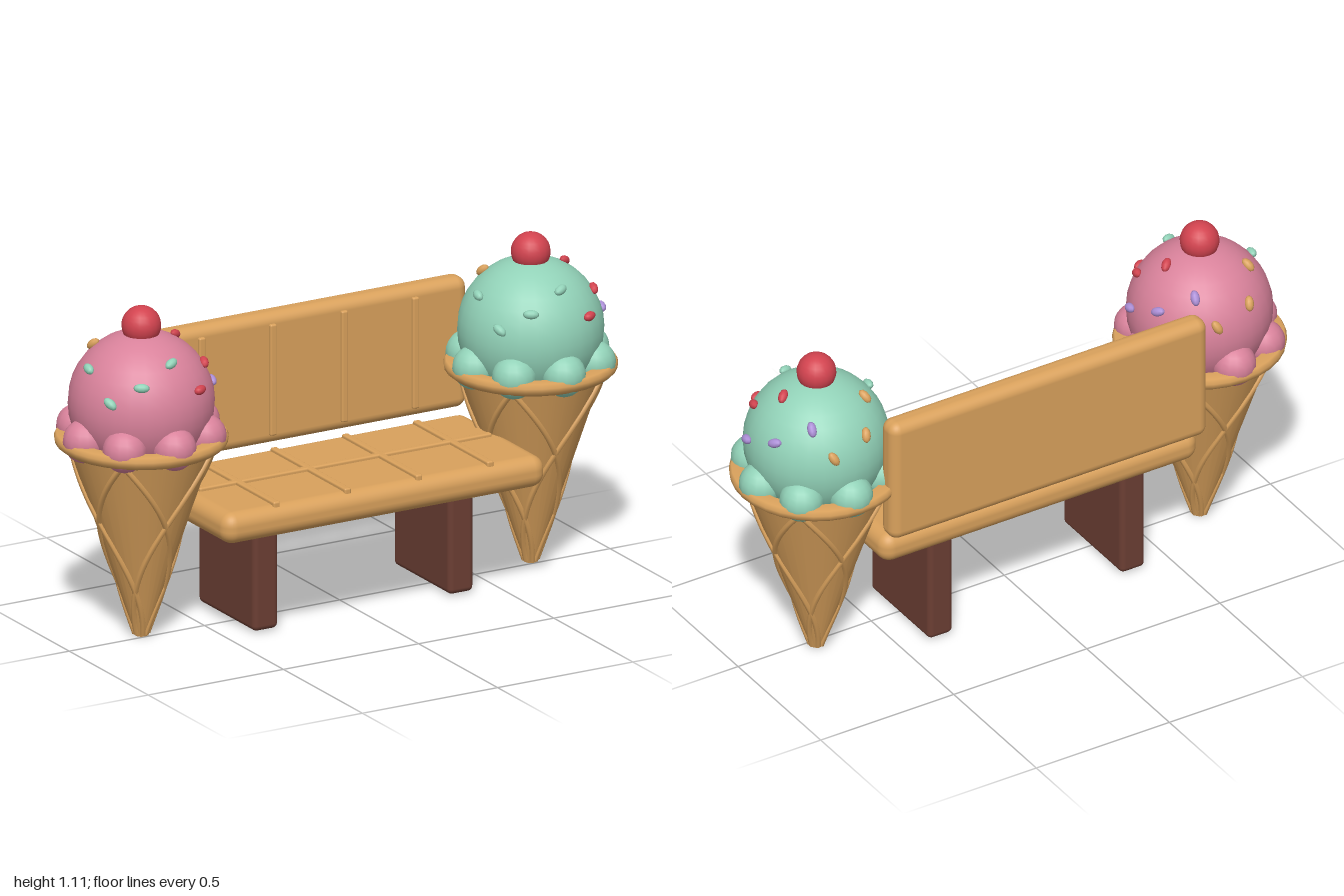
import * as THREE from 'three';
import { RoundedBoxGeometry } from 'three/addons/geometries/RoundedBoxGeometry.js';

const mat = (name, color, side = THREE.FrontSide) => {
  const m = new THREE.MeshStandardMaterial({ color, side });
  m.name = name;
  return m;
};

export function createModel() {
  const wafer = mat('wafer', 0xd9a15c, THREE.DoubleSide);
  const chocolate = mat('chocolate', 0x6b3e33);
  const pink = mat('strawberry', 0xd9829b);
  const mint = mat('mint', 0x92d2b8);
  const red = mat('cherryRed', 0xd2434f);
  const purple = mat('lilac', 0xab8ed6);

  const model = new THREE.Group();
  model.name = 'iceCreamBench';

  const add = (parent, name, geometry, material, x = 0, y = 0, z = 0) => {
    const mesh = new THREE.Mesh(geometry, material);
    mesh.name = name;
    mesh.position.set(x, y, z);
    parent.add(mesh);
    return mesh;
  };
  const slab = (name, material, w, h, d, r, x, y, z) =>
    add(model, name, new RoundedBoxGeometry(w, h, d, 4, r), material, x, y, z);

  // Bench: seat, backrest, raised wafer ribs and legs
  slab('seat', wafer, 1.19, 0.105, 0.535, 0.045, 0, 0.418, 0.035);
  slab('backrest', wafer, 1.19, 0.44, 0.085, 0.035, 0, 0.708, -0.243);
  for (const x of [-0.395, -0.132, 0.132, 0.395]) {
    slab('seatRib', wafer, 0.024, 0.03, 0.475, 0.006, x, 0.467, 0.043);
    slab('backrestRib', wafer, 0.024, 0.375, 0.03, 0.006, x, 0.708, -0.204);
  }
  slab('seatCrossRib', wafer, 1.08, 0.03, 0.024, 0.006, 0, 0.467, -0.03 + 0.06);
  for (const s of [-1, 1]) {
    slab('leg', chocolate, 0.092, 0.385, 0.358, 0.018, s * 0.361, 0.198, -0.023);
  }

  // Shared cone, scoop and sprinkle geometry
  const coneHeight = 0.65, tipRadius = 0.02, topRadius = 0.235;
  const coneGeo = new THREE.CylinderGeometry(topRadius, tipRadius, coneHeight, 32);
  const rimGeo = new THREE.LatheGeometry(
    [[0.225, 0.642], [0.262, 0.645], [0.277, 0.658], [0.28, 0.674], [0.272, 0.688], [0.23, 0.688]]
      .map(([r, y]) => new THREE.Vector2(r, y)), 32);
  const scoopGeo = new THREE.SphereGeometry(0.236, 28, 18);
  const lumpGeo = new THREE.SphereGeometry(0.072, 16, 12);
  const cherryGeo = new THREE.SphereGeometry(0.064, 20, 14);
  const sprinkleGeo = new THREE.SphereGeometry(1, 10, 8).scale(0.026, 0.015, 0.015);

  // Spiral wafer rib climbing the cone in either direction
  const spiral = (start, direction) => {
    const points = [];
    for (let i = 0; i <= 24; i++) {
      const t = i / 24;
      const r = tipRadius + (topRadius - tipRadius) * t;
      const a = start + direction * (1 - t) * Math.PI * 0.667;
      points.push(new THREE.Vector3(r * Math.sin(a), 0.008 + (coneHeight - 0.012) * t, r * Math.cos(a)));
    }
    return new THREE.TubeGeometry(new THREE.CatmullRomCurve3(points), 40, 0.01, 6);
  };
  const ribGeos = [];
  for (let k = 0; k < 4; k++) {
    for (const direction of [-1, 1]) ribGeos.push(spiral(Math.PI * (0.25 + k / 2), direction));
  }

  // Sprinkle positions around the scoop centre, grouped by colour
  const sprinkles = [
    [mint, [[-0.2, 0.145, 0], [-0.104, 0.112, 0.18], [0.013, 0.17, 0.165], [-0.19, 0.06, 0.13]]],
    [red, [[0.099, 0.08, 0.205], [0.174, 0.134, 0.105], [0.13, 0.212, 0]]],
    [purple, [[0.23, 0.047, 0.053], [0.2, 0.094, -0.076], [0.11, 0.156, -0.15]]],
    [wafer, [[-0.06, 0.11, -0.21], [-0.115, 0.18, -0.107], [0.07, 0.068, -0.22]]],
  ];

  const iceCream = (name, x, flavour) => {
    const g = new THREE.Group();
    g.name = name;
    g.position.set(x, 0, -0.023);
    model.add(g);

    add(g, 'cone', coneGeo, wafer, 0, coneHeight / 2, 0);
    add(g, 'coneRim', rimGeo, wafer);
    ribGeos.forEach((geo) => add(g, 'coneRib', geo, wafer));

    // Scoop with a ring of lumps spilling over the rim
    add(g, 'scoop', scoopGeo, flavour, 0, 0.79, 0);
    for (let i = 0; i < 8; i++) {
      const a = (i * Math.PI) / 4;
      add(g, 'scoopLump', lumpGeo, flavour, 0.208 * Math.sin(a), 0.69, 0.208 * Math.cos(a));
    }
    add(g, 'cherry', cherryGeo, red, 0, 1.046, 0);

    // Sprinkles lie flat on the scoop, each with a slight tilt
    let n = 0;
    for (const [material, places] of sprinkles) {
      for (const place of places) {
        const out = new THREE.Vector3(...place).setLength(0.24);
        const s = add(g, 'sprinkle', sprinkleGeo, material, out.x, out.y + 0.79, out.z);
        s.quaternion.setFromUnitVectors(new THREE.Vector3(0, 0, 1), out.clone().normalize());
        s.rotateZ(Math.atan2(out.x, out.z) * 0.3 + ((n++ % 3) - 1) * 0.4);
      }
    }
  };
  iceCream('strawberryCone', -0.72, pink);
  iceCream('mintCone', 0.72, mint);

  return model;
}
